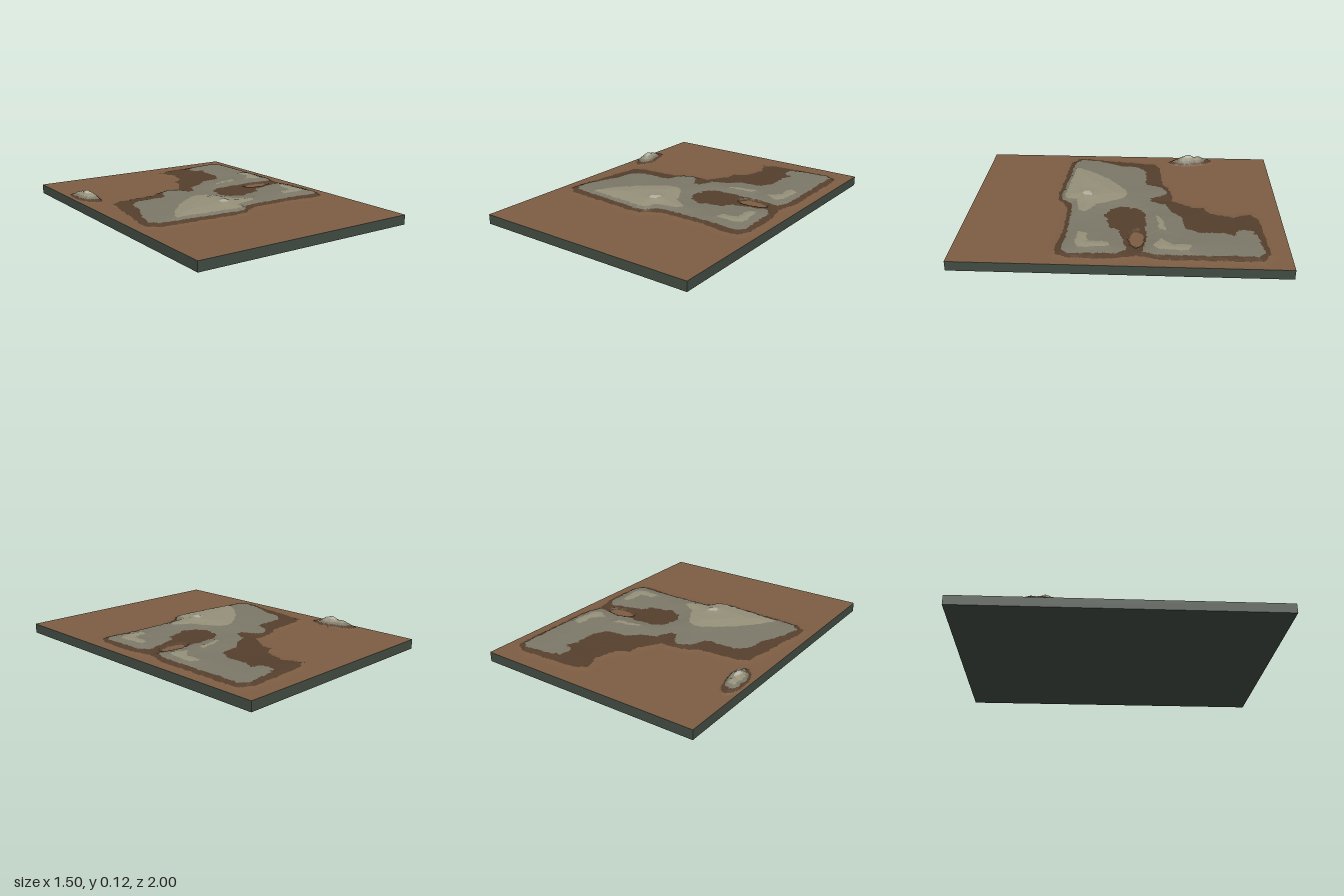
import * as THREE from 'three';

const GROUND = 0.062, W = 1.5, D = 2, NX = 188, NZ = 250;

// Contour outlines in plan, as x, z pairs
const foot = [0.12, -0.82, 0.2, -0.86, 0.6, -0.88, 0.68, -0.83, 0.685, -0.25, 0.65, -0.1, 0.685, 0.05, 0.685, 0.3,
  0.64, 0.38, 0.55, 0.385, 0.4, 0.36, 0.1, 0.36, 0.02, 0.4, -0.02, 0.43, -0.12, 0.445, -0.4, 0.425, -0.62, 0.41,
  -0.68, 0.36, -0.67, 0.24, -0.64, 0.05, -0.6, -0.2, -0.55, -0.23, -0.28, -0.25, -0.22, -0.29, -0.1, -0.315,
  -0.04, -0.31, 0, -0.38, 0.05, -0.45, 0.05, -0.52, 0.12, -0.55, 0.14, -0.62, 0.16, -0.7];
const plateau = [0.35, -0.8, 0.46, -0.84, 0.6, -0.85, 0.65, -0.81, 0.65, -0.2, 0.62, -0.13, 0.5, -0.15, 0.3, -0.15,
  0.15, -0.14, 0.09, -0.08, 0.07, 0.03, 0.12, 0.09, 0.2, 0.12, 0.35, 0.07, 0.37, 0.02, 0.52, -0.02, 0.6, -0.04,
  0.64, 0.03, 0.66, 0.3, 0.62, 0.35, 0.4, 0.33, 0.1, 0.335, 0.04, 0.34, 0, 0.4, -0.05, 0.42, -0.3, 0.4, -0.6, 0.38,
  -0.645, 0.33, -0.62, 0.2, -0.55, 0.05, -0.53, -0.08, -0.45, -0.13, -0.25, -0.14, -0.21, -0.25, -0.15, -0.28,
  -0.1, -0.27, -0.05, -0.17, 0, -0.17, 0.03, -0.27, 0.12, -0.3, 0.2, -0.37, 0.35, -0.39, 0.39, -0.48, 0.38, -0.6,
  0.41, -0.68, 0.34, -0.72];
const crests = [
  [-0.1, -0.02, -0.03, 0, 0.03, 0.1, 0.07, 0.18, 0.17, 0.24, 0.15, 0.29, 0, 0.31, 0, 0.38, -0.05, 0.4,
    -0.3, 0.38, -0.48, 0.36, -0.42, 0.25, -0.3, 0.12, -0.2, 0.04],
  [0.55, -0.42, 0.62, -0.4, 0.6, -0.22, 0.55, -0.2, 0.47, -0.24, 0.55, -0.3],
  [0.25, -0.25, 0.38, -0.27, 0.38, -0.23, 0.2, -0.21],
  [0.53, 0.08, 0.59, 0.05, 0.6, 0.25, 0.53, 0.28, 0.42, 0.26, 0.44, 0.21, 0.53, 0.2],
];

const clamp = THREE.MathUtils.clamp;

// Signed distance to an outline, positive inside
function inside(p, x, z) {
  let best = 9, odd = false;
  for (let i = 0, j = p.length - 2; i < p.length; j = i, i += 2) {
    const ax = p[j], az = p[j + 1], ex = p[i] - ax, ez = p[i + 1] - az;
    const t = clamp(((x - ax) * ex + (z - az) * ez) / (ex * ex + ez * ez), 0, 1);
    best = Math.min(best, Math.hypot(x - ax - t * ex, z - az - t * ez));
    if ((az > z) !== (p[i + 1] > z) && x < ax + ex * (z - az) / ez) odd = !odd;
  }
  return odd ? best : -best;
}

// Smooth value noise in the range -1 to 1
function hash(i, j) {
  const s = Math.sin(i * 127.1 + j * 311.7) * 43758.5453;
  return (s - Math.floor(s)) * 2 - 1;
}
function noise(x, z) {
  const i = Math.floor(x), j = Math.floor(z), lerp = THREE.MathUtils.lerp;
  const u = THREE.MathUtils.smoothstep(x - i, 0, 1), v = THREE.MathUtils.smoothstep(z - j, 0, 1);
  return lerp(lerp(hash(i, j), hash(i + 1, j), u), lerp(hash(i, j + 1), hash(i + 1, j + 1), u), v);
}

// Boulder: a steep elongated mound with two summits
function boulder(x, z) {
  const dx = x + 0.67 - (z + 0.45) * 0.12, dz = z + 0.45;
  const r = Math.hypot(dx / 0.06, dz / 0.15) + 0.08 * noise(x * 40, z * 25);
  if (r >= 1.1) return 0;
  const ridge = 0.036 + 0.025 * Math.exp(-(((z + 0.41) / 0.06) ** 2)) + 0.014 * Math.exp(-(((z + 0.52) / 0.04) ** 2));
  return clamp(1.1 - r, 0, 1) ** 0.75 * ridge * (1 + 0.12 * noise(x * 60 + 9, z * 50));
}

function heightAt(px, pz) {
  // Ragged edges come from shifting the sample point
  const x = px + 0.007 * noise(px * 45, pz * 45), z = pz + 0.007 * noise(px * 45 + 50, pz * 45);
  const a = inside(foot, x, z), b = inside(plateau, x, z);
  let h;
  if (a < 0 && b < 0) {
    h = GROUND + 0.006 * clamp(1 + a / 0.06, 0, 1) ** 2;
  } else if (b < 0) {
    h = 0.068 + 0.012 * a / (a - b + 1e-6);
  } else {
    const c = Math.max(...crests.map((p) => inside(p, x, z)));
    h = c < 0 ? 0.08 + 0.012 * b / (b - c + 1e-6) : 0.092 + 0.01 * clamp(c / 0.1, 0, 1);
    h += 0.011 * Math.exp(-(((x + 0.05) / 0.05) ** 2) - ((z - 0.26) / 0.06) ** 2);
  }
  if (a > 0) h += 0.0006 * noise(px * 60, pz * 60);
  // Small hollow in the saddle
  const hollow = Math.hypot((x - 0.46) / 0.085, (z + 0.095) / 0.042);
  if (hollow < 1.25) h = Math.min(h, 0.0655 + 0.0025 * hollow);
  return Math.max(h, GROUND + boulder(px, pz));
}

export function createModel() {
  const model = new THREE.Group();

  // Slab underneath
  const slab = new THREE.Mesh(new THREE.BoxGeometry(W, 0.061, D),
    new THREE.MeshStandardMaterial({ color: 0x414b42 }));
  slab.name = 'baseSlab';
  slab.position.y = 0.0305;
  model.add(slab);

  // Height field
  const field = new THREE.PlaneGeometry(W, D, NX, NZ).rotateX(-Math.PI / 2);
  const pos = field.attributes.position;
  for (let i = 0; i < pos.count; i++) pos.setY(i, heightAt(pos.getX(i), pos.getZ(i)));
  field.computeVertexNormals();

  // Triangles sorted into elevation bands that share the same vertices
  const bands = [
    { name: 'lowGround', top: 0.068, color: 0x7d5d43 },
    { name: 'lowerSlope', top: 0.08, color: 0x553f2d },
    { name: 'plateau', top: 0.092, color: 0x7c7868 },
    { name: 'crest', top: 0.108, color: 0x959079 },
    { name: 'summit', top: 9, color: 0xb3b0a0 },
  ];
  const lists = bands.map(() => []);
  const index = field.index;
  for (let i = 0; i < index.count; i += 3) {
    const tri = [0, 1, 2].map((k) => index.getX(i + k));
    const mean = tri.reduce((s, v) => s + pos.getY(v), 0) / 3;
    lists[bands.findIndex((b) => mean < b.top)].push(...tri);
  }
  bands.forEach((band, i) => {
    const geometry = new THREE.BufferGeometry();
    geometry.setAttribute('position', pos);
    geometry.setAttribute('normal', field.attributes.normal);
    geometry.setIndex(lists[i]);
    const mesh = new THREE.Mesh(geometry, new THREE.MeshStandardMaterial({ color: band.color }));
    mesh.name = band.name;
    model.add(mesh);
  });
  return model;
}
